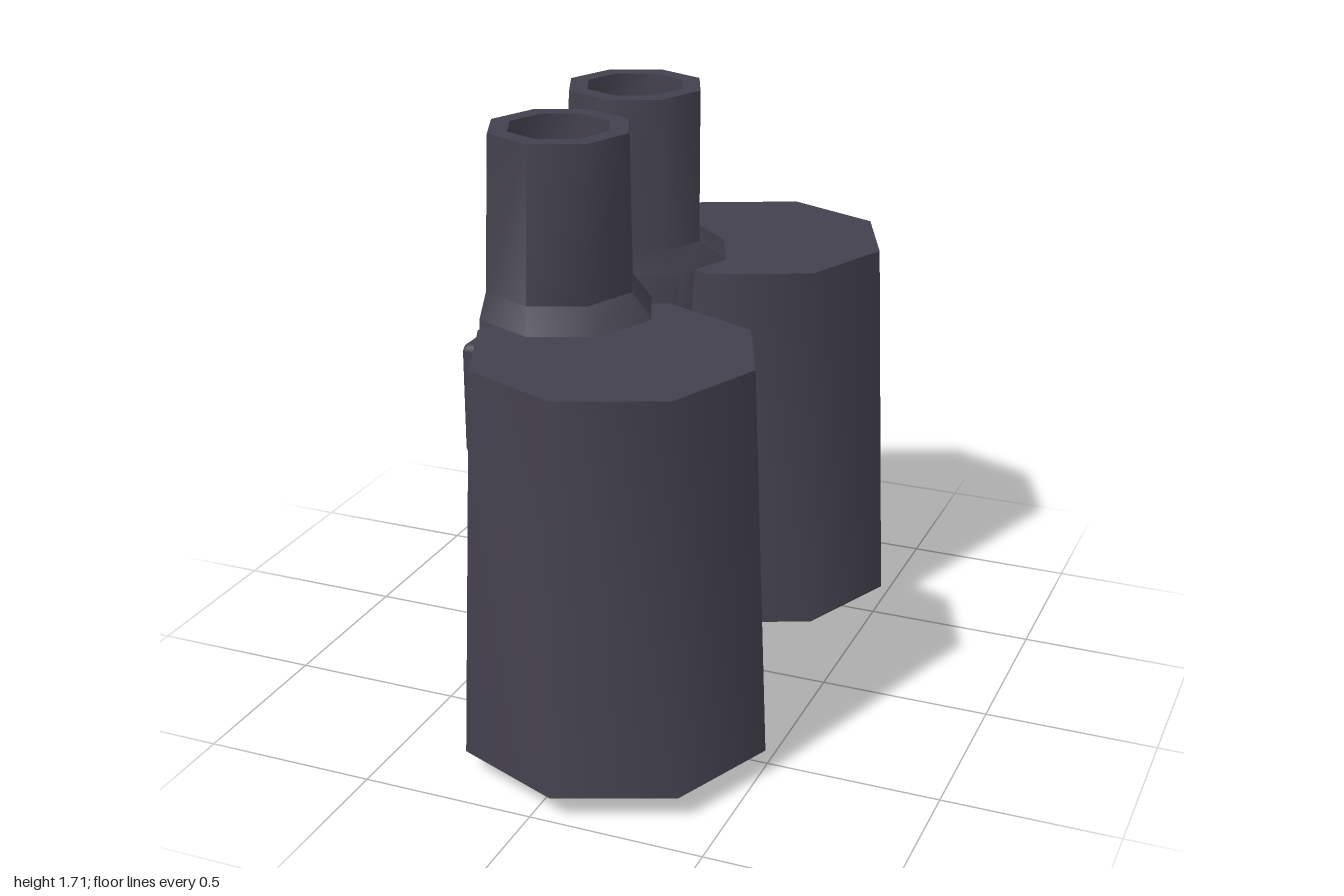
import * as THREE from 'three';
import { toCreasedNormals } from 'three/addons/utils/BufferGeometryUtils.js';
import { RoundedBoxGeometry } from 'three/addons/geometries/RoundedBoxGeometry.js';

const SIDES = 8;
const CREASE = 0.9; // keeps the octagon sides smooth, rims sharp
const bodyMaterial = new THREE.MeshStandardMaterial({ color: 0x44414e });
const glassMaterial = new THREE.MeshStandardMaterial({ color: 0x111111 });

function part(name, geometry, material) {
  const mesh = new THREE.Mesh(geometry, material);
  mesh.name = name;
  return mesh;
}

// Octagonal turned shape from [radius, height] pairs
function turned(profile) {
  const points = profile.map(([r, y]) => new THREE.Vector2(r, y));
  return toCreasedNormals(new THREE.LatheGeometry(points, SIDES), CREASE);
}

// Skin over octagonal rings [x, y, z, radius], listed from the bottom up
function loft(rings) {
  const positions = [], index = [];
  for (const [x, y, z, r] of rings) {
    for (let i = 0; i < SIDES; i++) {
      const a = (i / SIDES) * Math.PI * 2;
      positions.push(x + r * Math.sin(a), y, z + r * Math.cos(a));
    }
  }
  for (let k = 0; k < rings.length - 1; k++) {
    for (let i = 0; i < SIDES; i++) {
      const a = k * SIDES + i, b = k * SIDES + (i + 1) % SIDES;
      index.push(a, b, b + SIDES, a, b + SIDES, a + SIDES);
    }
  }
  const geometry = new THREE.BufferGeometry();
  geometry.setAttribute('position', new THREE.Float32BufferAttribute(positions, 3));
  geometry.setIndex(index);
  return toCreasedNormals(geometry, CREASE);
}

export function createModel() {
  const model = new THREE.Group();
  model.name = 'binoculars';

  for (const s of [1, -1]) {
    const half = new THREE.Group();
    half.name = s > 0 ? 'frontHalf' : 'backHalf';

    // Wide tapered barrel with a bevelled, recessed opening underneath
    const barrel = part('barrel', turned([
      [0.33, 0.165], [0.385, 0.04], [0.45, 0.07], [0.403, 1.195], [0, 1.195],
    ]), bodyMaterial);
    barrel.position.set(0.06, 0, 0.547 * s);

    // Pointed objective lens, its tip at the ground
    const objective = part('objectiveLens', turned([[0, 0], [0.33, 0.165]]), glassMaterial);
    objective.position.copy(barrel.position);

    // Eyepiece flaring onto the barrel top and running down its side
    const eyepiece = part('eyepiece', loft([
      [-0.04, 0.5, 0.45 * s, 0.2],
      [-0.22, 0.71, 0.26 * s, 0.25],
      [-0.195, 1.195, 0.29 * s, 0.257],
      [-0.23, 1.255, 0.255 * s, 0.22],
      [-0.22, 1.71, 0.265 * s, 0.207],
      [-0.22, 1.71, 0.265 * s, 0.15],
      [-0.22, 1.59, 0.265 * s, 0.15],
    ]), bodyMaterial);

    // Flat lens inside the eyepiece
    const ocular = part('eyepieceLens', turned([[0.15, 1.59], [0, 1.59]]), glassMaterial);
    ocular.position.set(-0.22, 0, 0.265 * s);

    half.add(barrel, objective, eyepiece, ocular);
    model.add(half);
  }

  // Block joining the two halves
  const bridge = part('bridge', new RoundedBoxGeometry(0.57, 0.34, 0.645, 1, 0.02), bodyMaterial);
  bridge.position.set(-0.235, 0.88, 0);
  model.add(bridge);

  return model;
}
